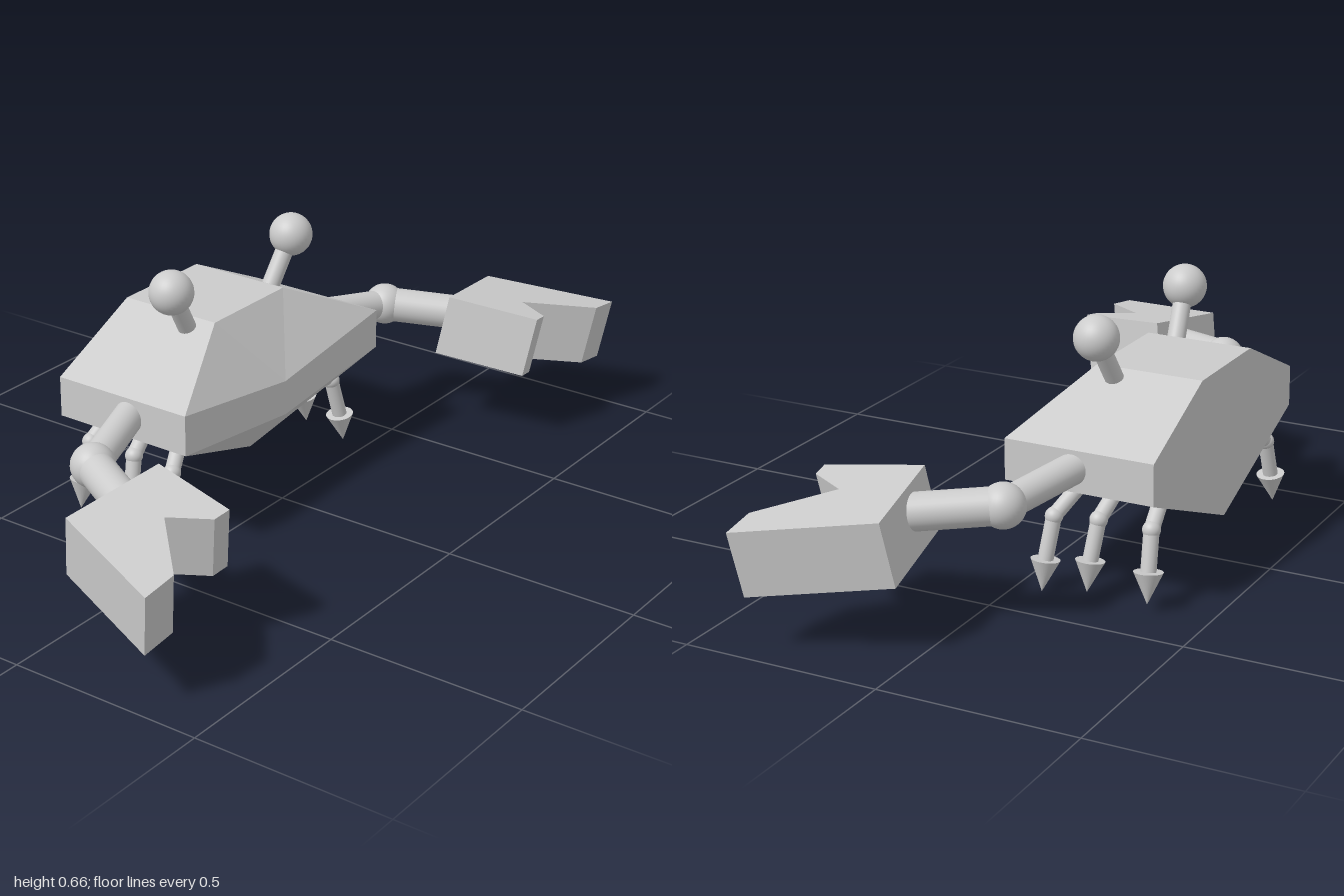
import * as THREE from 'three';

const material = new THREE.MeshStandardMaterial({ color: 0xcccccc });

function add(parent, name, geometry) {
  const mesh = new THREE.Mesh(geometry, material);
  mesh.name = name;
  parent.add(mesh);
  return mesh;
}

// Cylinder or cone running from point a to point b
function rod(parent, name, a, b, ra, rb = ra) {
  const dir = b.clone().sub(a);
  const mesh = add(parent, name, new THREE.CylinderGeometry(rb, ra, dir.length(), 32));
  mesh.position.copy(a).addScaledVector(dir, 0.5);
  mesh.quaternion.setFromUnitVectors(new THREE.Vector3(0, 1, 0), dir.normalize());
}

function ball(parent, name, p, r) {
  add(parent, name, new THREE.SphereGeometry(r, 32, 24)).position.copy(p);
}

// Faceted shell: half cross-sections from crown to keel, mirrored in z
function shellGeometry() {
  const section = [[0.507, 0], [0.507, 0.14], [0.385, 0.4], [0.282, 0.4], [0.12, 0]];
  const frontX = [-0.1, -0.1, 0.01, 0.01, -0.1];
  const back = section.map(([y, z]) => [-0.375, y, z]);
  const front = section.map(([y, z], i) => [frontX[i], y, z]);
  const lipTop = [0.01, 0.33, 0];
  const lipBottom = [0.01, 0.24, 0];
  const faces = [
    [...back].reverse(),
    [lipTop, front[0], front[1], front[2]],
    [lipTop, front[2], front[3], lipBottom],
    [lipBottom, front[3], front[4]],
  ];
  for (let i = 0; i < 4; i++) faces.push([back[i], back[i + 1], front[i + 1], front[i]]);

  const positions = [];
  const flip = ([x, y, z]) => [x, y, -z];
  for (const f of faces) {
    for (let i = 1; i < f.length - 1; i++) {
      positions.push(...f[0], ...f[i], ...f[i + 1]);
      positions.push(...flip(f[0]), ...flip(f[i + 1]), ...flip(f[i]));
    }
  }
  const g = new THREE.BufferGeometry();
  g.setAttribute('position', new THREE.Float32BufferAttribute(positions, 3));
  g.computeVertexNormals();
  return g;
}

// Notched pincer outline in (x, z), extruded downwards and tilted
function clawGeometry(side) {
  const outline = [
    [0.1, 0.61], [0.338, 0.66], [0.332, 0.706], [0.235, 0.76],
    [0.378, 0.907], [0.375, 1.0], [0.055, 0.88],
  ];
  const shape = new THREE.Shape(outline.map(([x, z]) => new THREE.Vector2(x, z * side)));
  const g = new THREE.ExtrudeGeometry(shape, { depth: 1, bevelEnabled: false });
  const slopeX = -0.065, slopeZ = -0.149;
  const tilt = new THREE.Matrix4().makeBasis(
    new THREE.Vector3(1, slopeX, 0),
    new THREE.Vector3(0, slopeZ * side, 1),
    new THREE.Vector3(-0.024, -0.158, -0.022 * side),
  );
  tilt.setPosition(0, 0.337 - slopeX * 0.055 - slopeZ * 0.875, 0);
  return g.applyMatrix4(tilt);
}

export function createModel() {
  const model = new THREE.Group();
  model.name = 'crab';
  add(model, 'shell', shellGeometry());

  for (const side of [1, -1]) {
    const at = (x, y, z) => new THREE.Vector3(x, y, z * side);

    // Eye on a slanted stalk
    const eye = new THREE.Group();
    eye.name = 'eye';
    rod(eye, 'eyeStalk', at(-0.162, 0.48, 0.165), at(-0.15, 0.608, 0.243), 0.023);
    ball(eye, 'eyeball', at(-0.15, 0.608, 0.243), 0.055);

    // Jointed arm with claw
    const arm = new THREE.Group();
    arm.name = 'clawArm';
    const elbow = at(-0.1, 0.309, 0.605);
    rod(arm, 'upperArm', at(-0.172, 0.34, 0.37), elbow, 0.038);
    ball(arm, 'elbow', elbow, 0.054);
    rod(arm, 'forearm', elbow, at(0.1, 0.293, 0.71), 0.045);
    add(arm, 'claw', clawGeometry(side));
    model.add(eye, arm);

    // Three walking legs: hip x, knee x, ankle x, tip x, height offset
    const legs = [
      [-0.332, -0.34, -0.345, -0.348, 0],
      [-0.214, -0.203, -0.194, -0.191, 0],
      [-0.112, -0.085, -0.075, -0.071, -0.02],
    ];
    for (const [hip, kneeX, ankleX, tip, dy] of legs) {
      const leg = new THREE.Group();
      leg.name = 'leg';
      const knee = at(kneeX, 0.197 + dy * 0.6, 0.335);
      const ankle = at(ankleX, 0.102 + dy, 0.36);
      rod(leg, 'thigh', at(hip, 0.245 + dy * 0.5, 0.27), knee, 0.019);
      ball(leg, 'knee', knee, 0.022);
      rod(leg, 'shin', knee, ankle, 0.019);
      rod(leg, 'foot', ankle, at(tip, 0.025 + dy * 1.1, 0.372), 0.036, 0);
      model.add(leg);
    }
  }
  return model;
}
